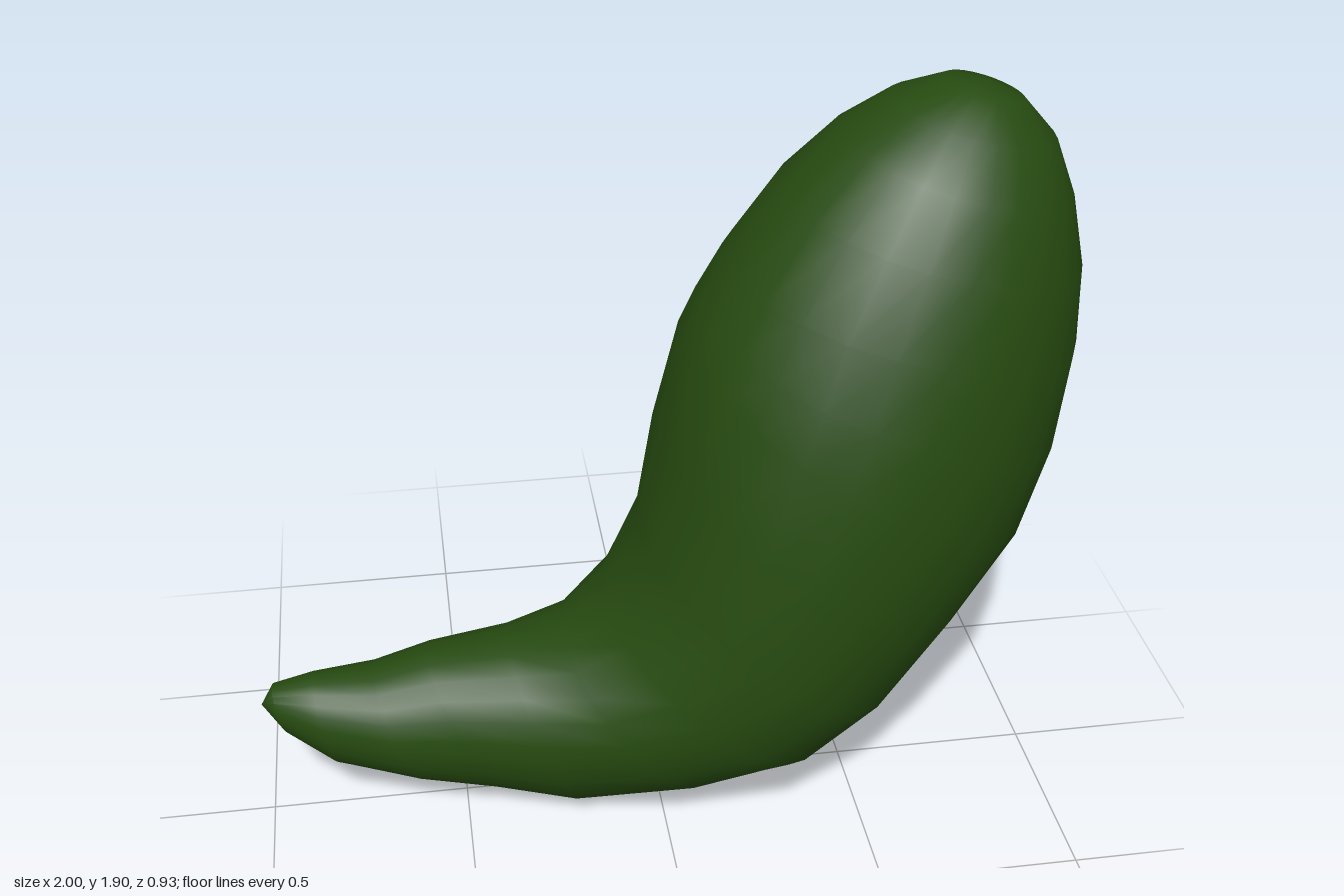
import * as THREE from 'three';
import { toCreasedNormals } from 'three/addons/utils/BufferGeometryUtils.js';

// Cross-sections from the tail tip to the rounded head:
// [outer x, outer y, inner x, inner y, half width in z]
const SECTIONS = [
  [-1.0, 0.34, -1.0, 0.34, 0],
  [-0.94, 0.26, -0.97, 0.39, 0.06],
  [-0.82, 0.155, -0.87, 0.41, 0.1],
  [-0.6, 0.09, -0.72, 0.415, 0.15],
  [-0.4, 0.045, -0.58, 0.455, 0.18],
  [-0.2, 0.0, -0.38, 0.475, 0.23],
  [0.12, 0.05, -0.24, 0.5, 0.31],
  [0.42, 0.165, -0.13, 0.6, 0.4],
  [0.6, 0.34, -0.04, 0.79, 0.45],
  [0.75, 0.55, 0.0, 1.04, 0.465],
  [0.9, 0.79, 0.06, 1.29, 0.455],
  [0.97, 1.03, 0.1, 1.38, 0.435],
  [1.0, 1.27, 0.16, 1.49, 0.395],
  [0.995, 1.46, 0.28, 1.66, 0.34],
  [0.96, 1.63, 0.41, 1.785, 0.265],
  [0.91, 1.76, 0.53, 1.86, 0.185],
  [0.83, 1.85, 0.65, 1.9, 0.09],
  [0.745, 1.89, 0.745, 1.89, 0],
];

// Skins elliptical rings, closing to a point at both ends
function loft(sections, sides) {
  const positions = [];
  const index = [];
  for (const [ox, oy, ix, iy, w] of sections) {
    for (let j = 0; j < sides; j++) {
      const a = (j / sides) * Math.PI * 2;
      const c = Math.cos(a) / 2;
      positions.push(
        (ox + ix) / 2 + (ox - ix) * c,
        (oy + iy) / 2 + (oy - iy) * c,
        w * Math.sin(a)
      );
    }
  }
  const last = sections.length - 2;
  for (let i = 0; i <= last; i++) {
    for (let j = 0; j < sides; j++) {
      const k = (j + 1) % sides;
      const a = i * sides + j, b = i * sides + k;
      const c = a + sides, d = b + sides;
      if (i > 0) index.push(a, c, b);
      if (i < last) index.push(b, c, d);
    }
  }
  const geometry = new THREE.BufferGeometry();
  geometry.setAttribute('position', new THREE.Float32BufferAttribute(positions, 3));
  geometry.setIndex(index);
  return toCreasedNormals(geometry, 0.85);
}

export function createModel() {
  const group = new THREE.Group();
  group.name = 'curvedPod';
  const darkGreen = new THREE.MeshStandardMaterial({ color: 0x264a10 });
  darkGreen.name = 'darkGreen';

  // One curved body with a narrow tail and a swollen upright head
  const body = new THREE.Mesh(loft(SECTIONS, 24), darkGreen);
  body.name = 'podBody';
  group.add(body);
  return group;
}
